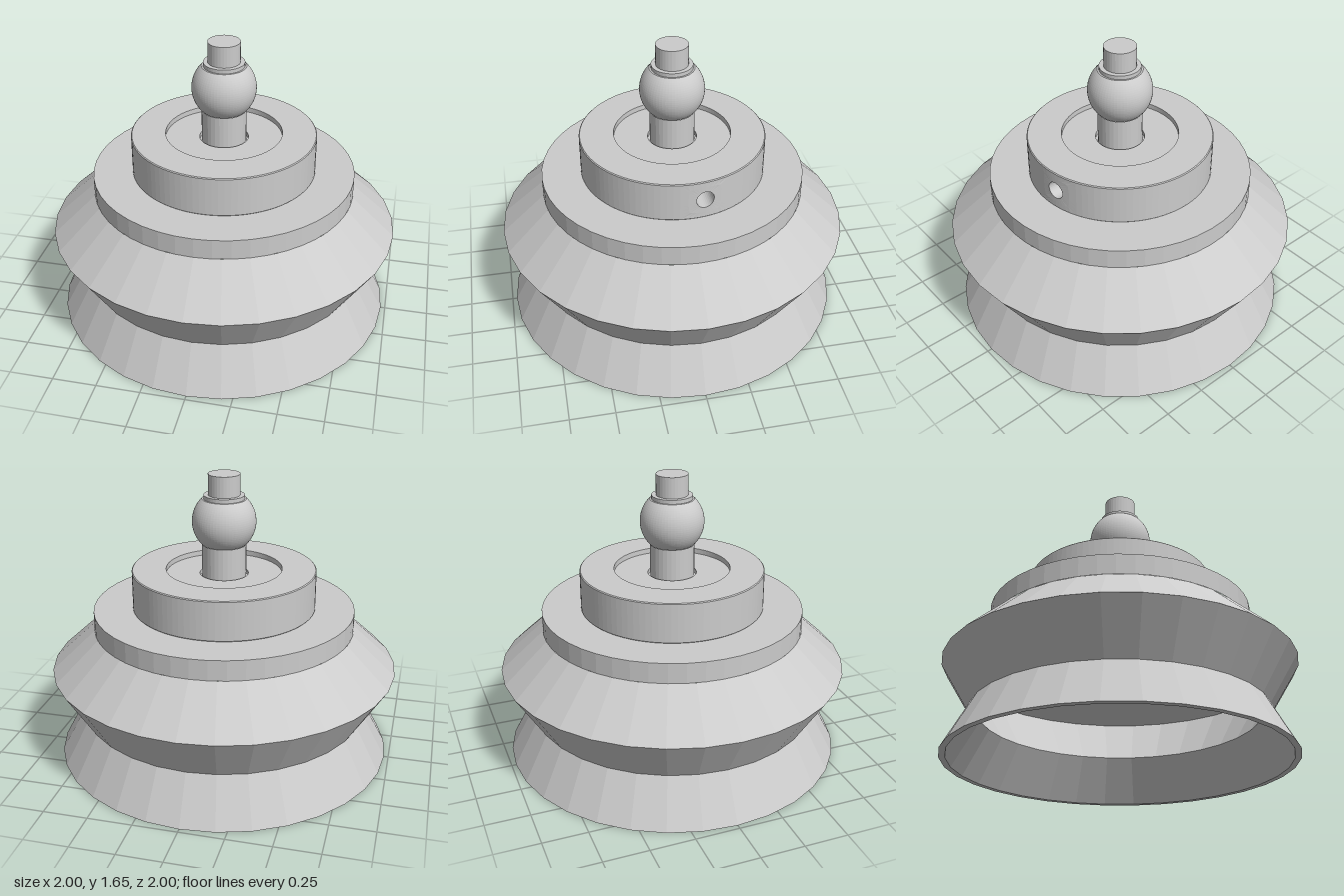
import * as THREE from 'three';

const material = new THREE.MeshStandardMaterial({ color: 0xcccccc, flatShading: true });

// Solid of revolution from [radius, y] points
function turned(name, points, segments, start = 0, length = Math.PI * 2) {
  const profile = points.map(([r, y]) => new THREE.Vector2(r, y));
  const mesh = new THREE.Mesh(new THREE.LatheGeometry(profile, segments, start, length), material);
  mesh.name = name;
  return mesh;
}

const COLLAR_R = 0.525, WALL_BOTTOM = 0.88, WALL_TOP = 1.1;
const HALF = Math.PI / 12; // half angle of the wall patch around the side hole
const HOLE_PHI = Math.acos(-0.08 / COLLAR_R);

// Curved wall patch with a blind round hole, built ring by ring from its border inward
function drilledPatch() {
  const n = 32, radius = 0.05, midY = (WALL_BOTTOM + WALL_TOP) / 2;
  const positions = [], index = [];
  const onWall = (u, y) => {
    const phi = HOLE_PHI + u / COLLAR_R;
    return [COLLAR_R * Math.sin(phi), y, COLLAR_R * Math.cos(phi)];
  };
  const rings = [[], [], [], [], []];
  for (let j = 0; j < n; j++) {
    // walk the rectangular border counterclockwise, from its lower right corner
    const side = Math.floor(j / 8), t = (j % 8) / 4 - 1;
    const [sx, sy] = [[1, t], [-t, 1], [-1, -t], [t, -1]][side];
    const bu = sx * HALF * COLLAR_R, by = sy * (WALL_TOP - WALL_BOTTOM) / 2;
    const a = j / n * Math.PI * 2 - Math.PI / 4;
    const cu = radius * Math.cos(a), cy = radius * Math.sin(a);
    const edge = onWall(cu, midY + cy);
    rings[0].push(onWall(bu, midY + by));
    rings[1].push(onWall((bu + cu) / 2, midY + (by + cy) / 2));
    rings[2].push(edge);
    rings[3].push([0.36, edge[1], edge[2]]);
    rings[4].push([0.36, midY, -0.08]);
  }
  rings.flat().forEach(p => positions.push(...p));
  for (let i = 0; i < rings.length - 1; i++) {
    for (let j = 0; j < n; j++) {
      const a = i * n + j, b = i * n + (j + 1) % n;
      index.push(a, b, b + n, a, b + n, a + n);
    }
  }
  const geometry = new THREE.BufferGeometry();
  geometry.setAttribute('position', new THREE.Float32BufferAttribute(positions, 3));
  geometry.setIndex(index);
  geometry.computeVertexNormals();
  const mesh = new THREE.Mesh(geometry, material);
  mesh.name = 'collarSideHole';
  return mesh;
}

export function createModel() {
  const model = new THREE.Group();
  model.name = 'bellowsSuctionCup';

  // Hollow bellows: inside from the ceiling down, round the lip, outside up
  model.add(turned('bellows', [
    [0, 0.76], [0.68, 0.76], [0.96, 0.53], [0.79, 0.26], [0.94, 0],
    [0.975, 0], [0.835, 0.26], [1, 0.53], [0.75, 0.76],
  ], 32));

  // Flat flange on top of the bellows
  model.add(turned('flange', [[0.75, 0.76], [0.75, 0.875], [0, 0.875]], 48));

  // Collar with a shallow recess and a hole in its right-hand wall
  const collar = new THREE.Group();
  collar.name = 'collar';
  const start = HOLE_PHI + HALF;
  collar.add(turned('collarFoot', [[0.52, 0.875], [COLLAR_R, WALL_BOTTOM]], 96, start));
  collar.add(turned('collarWall', [[COLLAR_R, WALL_BOTTOM], [COLLAR_R, WALL_TOP]],
    88, start, 2 * Math.PI - 2 * HALF));
  collar.add(drilledPatch());
  collar.add(turned('collarTop', [
    [COLLAR_R, WALL_TOP], [0.52, 1.105], [0.33, 1.105], [0.33, 1.075],
    [0.138, 1.075], [0.138, 1.05], [0, 1.05],
  ], 96, start));
  model.add(collar);

  // Ball stud: post, ball, washer and tip
  model.add(turned('post', [[0.126, 1.05], [0.126, 1.25]], 32));
  const ball = [];
  const limit = Math.asin(0.13 / 0.18);
  for (let i = 0; i <= 24; i++) {
    const a = -limit + 2 * limit * i / 24;
    ball.push([0.18 * Math.cos(a), 1.38 + 0.18 * Math.sin(a)]);
  }
  model.add(turned('ball', [...ball, [0, 1.51]], 64));
  model.add(turned('washer', [[0.115, 1.51], [0.115, 1.532], [0, 1.532]], 40));
  model.add(turned('tip', [[0.09, 1.532], [0.09, 1.65], [0, 1.65]], 32));
  return model;
}
